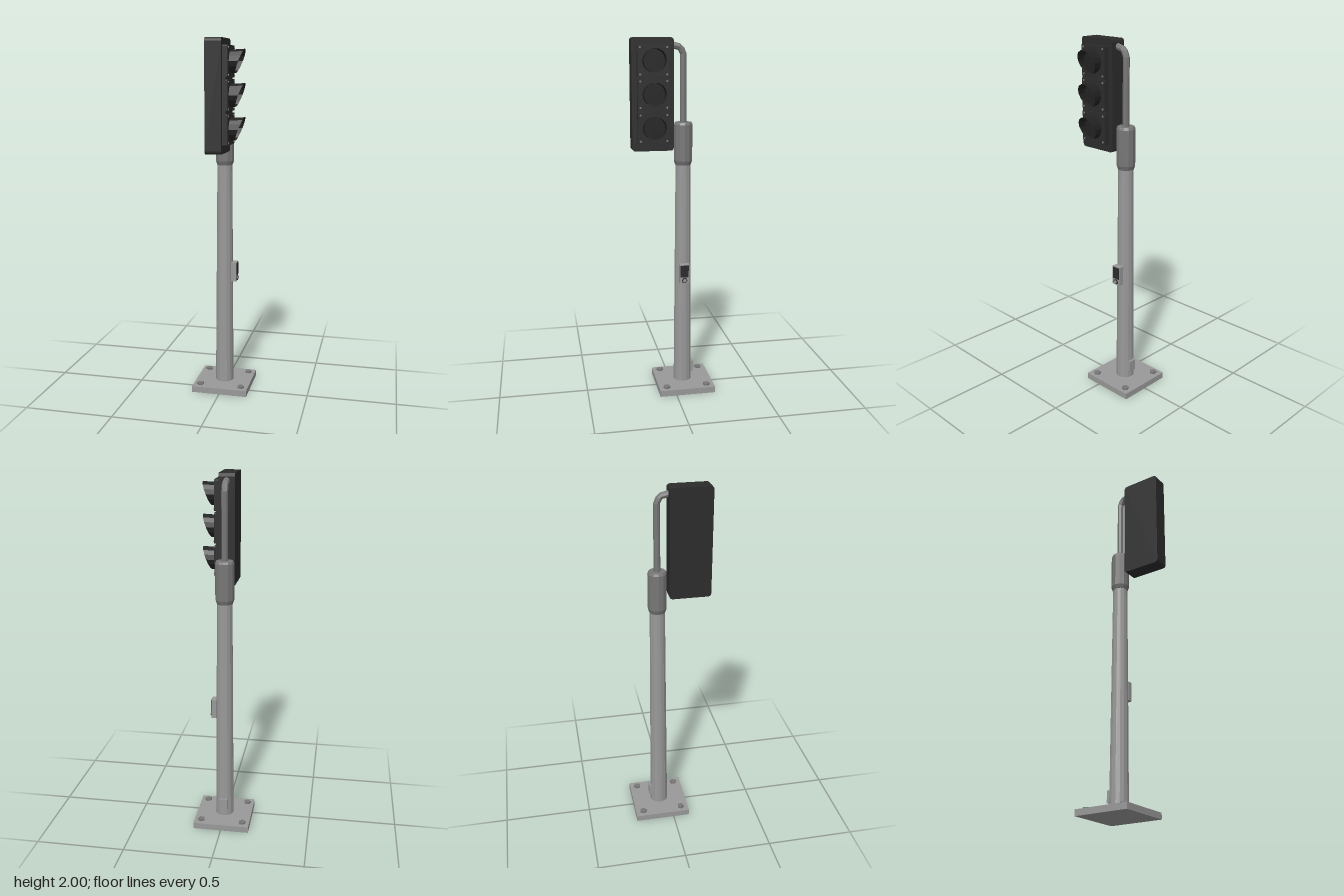
import * as THREE from 'three';

const mat = (name, color, opts = {}) => {
  const m = new THREE.MeshStandardMaterial({ color, flatShading: true, ...opts });
  m.name = name;
  return m;
};

export function createModel() {
  const root = new THREE.Group();
  root.name = 'trafficSignal';
  const steel = mat('steel', 0x999999);
  const darkSteel = mat('darkSteel', 0x777777);
  const housing = mat('housing', 0x2c2c2c);
  const black = mat('visorBlack', 0x222222, { side: THREE.DoubleSide });
  const PZ = -0.063; // pole axis
  const HZ = 0.11;   // signal head centre

  const add = (name, geo, material, x = 0, y = 0, z = 0, parent = root) => {
    const m = new THREE.Mesh(geo, material);
    m.name = name;
    m.position.set(x, y, z);
    parent.add(m);
    return m;
  };
  const box = (w, h, d) => new THREE.BoxGeometry(w, h, d);
  // cylinder lying along x
  const disc = (r, len, sides) => new THREE.CylinderGeometry(r, r, len, sides).rotateZ(-Math.PI / 2);
  // slab with rounded corners, thickness along x starting at 0
  const slab = (w, h, t, r) => {
    const a = w / 2, b = h / 2, s = new THREE.Shape();
    s.moveTo(-a + r, -b);
    s.lineTo(a - r, -b).quadraticCurveTo(a, -b, a, -b + r);
    s.lineTo(a, b - r).quadraticCurveTo(a, b, a - r, b);
    s.lineTo(-a + r, b).quadraticCurveTo(-a, b, -a, b - r);
    s.lineTo(-a, -b + r).quadraticCurveTo(-a, -b, -a + r, -b);
    return new THREE.ExtrudeGeometry(s, { depth: t, bevelEnabled: false, curveSegments: 3 }).rotateY(Math.PI / 2);
  };

  // Base plate and anchor bolts
  add('basePlate', box(0.32, 0.035, 0.32), steel, 0, 0.0175, -0.065);
  [[-1, -1], [1, -1], [-1, 1], [1, 1]].forEach(([sx, sz], i) => {
    const bolt = add('anchorBolt', new THREE.CylinderGeometry(0.021, 0.021, 0.01, 5), darkSteel, sx * 0.12, 0.04, -0.065 + sz * 0.116);
    bolt.rotation.y = i * 0.5;
  });

  // Tapered pole, sleeve and access cover
  add('pole', new THREE.CylinderGeometry(0.042, 0.052, 1.31, 14), steel, 0, 0.69, PZ);
  const sleeve = [[0, 1.315], [0.044, 1.315], [0.052, 1.338], [0.052, 1.537], [0.046, 1.55], [0, 1.55]];
  add('sleeve', new THREE.LatheGeometry(sleeve.map(p => new THREE.Vector2(...p)), 12), darkSteel, 0, 0, PZ);
  add('accessCover', box(0.045, 0.065, 0.022), steel, 0, 0.112, -0.114);

  // Bent arm carrying the head
  const path = new THREE.CurvePath();
  const pts = [[1.54, PZ], [1.915, PZ], [1.95, -0.045], [1.962, 0.005]].map(([y, z]) => new THREE.Vector3(0, y, z));
  for (let i = 0; i < 3; i++) path.add(new THREE.LineCurve3(pts[i], pts[i + 1]));
  add('arm', new THREE.TubeGeometry(path, 30, 0.018, 8), darkSteel);

  // Call button box
  const call = new THREE.Group();
  call.name = 'callButton';
  call.position.set(0, 0, -0.06);
  root.add(call);
  add('buttonBox', box(0.03, 0.11, 0.054), steel, 0.058, 0.7, 0, call);
  add('buttonSign', box(0.004, 0.068, 0.046), housing, 0.0745, 0.716, 0, call);
  add('buttonRing', disc(0.015, 0.006, 10), housing, 0.0755, 0.663, 0, call);
  add('buttonCap', disc(0.01, 0.009, 10), steel, 0.077, 0.663, 0, call);

  // Signal head housing
  add('headHousing', slab(0.227, 0.6, 0.088, 0.018), housing, -0.045, 1.7, HZ);
  add('doorFrame', slab(0.172, 0.522, 0.018, 0.006), housing, 0.043, 1.703, HZ);

  // Three signal units, each with door, lens, visor and screws
  for (const y of [1.527, 1.705, 1.88]) {
    const unit = new THREE.Group();
    unit.name = 'signalUnit';
    unit.position.set(0, y, HZ);
    root.add(unit);
    add('unitDoor', slab(0.172, 0.166, 0.028, 0.006), housing, 0.044, 0, 0, unit);
    add('lens', disc(0.058, 0.012, 14), black, 0.078, 0, 0, unit);

    // visor: open tube with a slanted, flared mouth
    const R = 0.061;
    const visor = new THREE.CylinderGeometry(R, R, 1, 14, 1, true).rotateZ(-Math.PI / 2);
    const p = visor.attributes.position;
    for (let i = 0; i < p.count; i++) {
      const t = (p.getY(i) / R + 1) / 2;
      if (p.getX(i) > 0) {
        p.setX(i, 0.097 + 0.05 * t);
        p.setY(i, p.getY(i) + 0.004 * t);
      } else p.setX(i, 0.071);
    }
    visor.computeVertexNormals();
    add('visor', visor, black, 0, 0, 0, unit);

    for (const sy of [-1, 1]) for (const sz of [-1, 1])
      add('doorScrew', disc(0.006, 0.006, 6), darkSteel, 0.073, sy * 0.07, sz * 0.072, unit);
  }
  return root;
}
